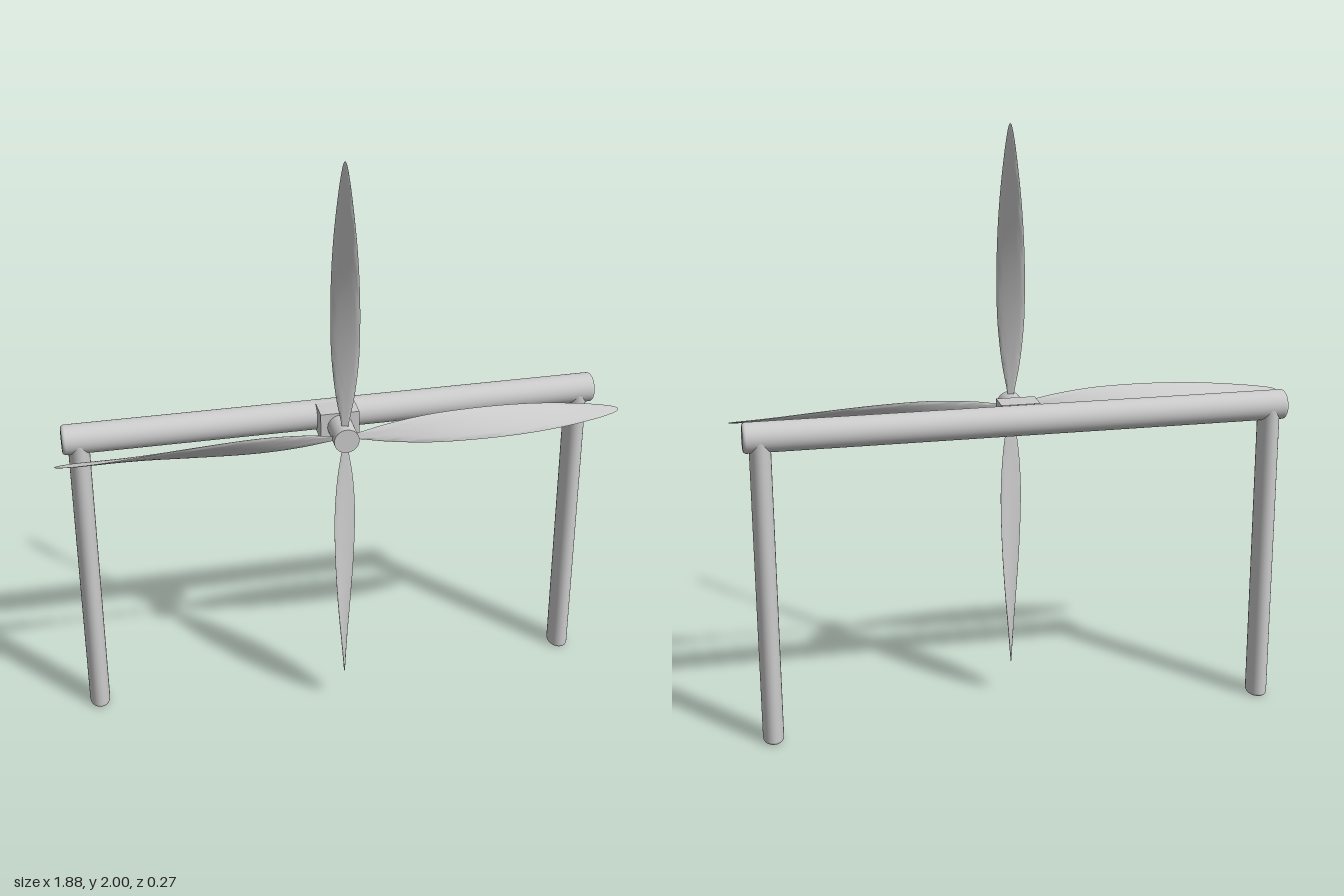
import * as THREE from 'three';
import { toCreasedNormals } from 'three/addons/utils/BufferGeometryUtils.js';

const AXIS_Y = 1.06;   // height of the beam and rotor axis
const BEAM_Z = -0.085;
const ROTOR_Z = 0.09;

const material = new THREE.MeshStandardMaterial({ color: 0xcccccc });

function addMesh(parent, name, geometry) {
  const mesh = new THREE.Mesh(geometry, material);
  mesh.name = name;
  parent.add(mesh);
  return mesh;
}

// Round bar along y, centred, with softly rounded end rims
function barGeometry(radius, length, rim = 0.012) {
  const h = length / 2;
  const points = [new THREE.Vector2(0, -h)];
  for (const end of [-1, 1]) {
    for (let i = 0; i <= 4; i++) {
      const a = (end < 0 ? i : 4 - i) * Math.PI / 8;
      points.push(new THREE.Vector2(
        radius - rim * (1 - Math.sin(a)),
        end * (h - rim * (1 - Math.cos(a)))));
    }
  }
  points.push(new THREE.Vector2(0, h));
  return new THREE.LatheGeometry(points, 48);
}

// Twisted blade along +x: lens sections lofted from root to tip
function bladeGeometry() {
  const rows = 48, sides = 24, tip = 0.94;
  const outline = new THREE.SplineCurve([
    [0.02, 0.008], [0.06, 0.014], [0.14, 0.029], [0.24, 0.042], [0.34, 0.05],
    [0.5, 0.055], [0.64, 0.054], [0.75, 0.047], [0.85, 0.034], [0.91, 0.02],
    [0.933, 0.01], [tip, 0.0005],
  ].map(([r, c]) => new THREE.Vector2(r, c)));
  const positions = [], index = [];
  for (let i = 0; i <= rows; i++) {
    const { x: r, y: chord } = outline.getPoint(i / rows);
    const pitch = THREE.MathUtils.degToRad(78 - 67 * r);
    const thick = Math.min(0.007, chord * 0.13 + 0.001 * (1 - r / tip));
    for (let j = 0; j < sides; j++) {
      const a = j / sides * Math.PI * 2;
      const u = Math.cos(a) * chord, v = Math.sin(a) * thick;
      positions.push(r,
        u * Math.sin(pitch) + v * Math.cos(pitch),
        -u * Math.cos(pitch) + v * Math.sin(pitch));
      if (i < rows) {
        const k = i * sides + j, n = i * sides + (j + 1) % sides;
        index.push(k, k + sides, n, n, k + sides, n + sides);
      }
    }
  }
  // Close the tip and the root
  for (let j = 1; j < sides - 1; j++) {
    const t = rows * sides;
    index.push(t, t + j + 1, t + j, 0, j, j + 1);
  }
  const geometry = new THREE.BufferGeometry();
  geometry.setAttribute('position', new THREE.Float32BufferAttribute(positions, 3));
  geometry.setIndex(index);
  // Make sure the winding faces outward
  let volume = 0;
  const p = (i) => new THREE.Vector3().fromArray(positions, i * 3);
  for (let i = 0; i < index.length; i += 3) {
    volume += p(index[i]).dot(p(index[i + 1]).cross(p(index[i + 2])));
  }
  if (volume < 0) geometry.setIndex(index.reverse());
  return toCreasedNormals(geometry, Math.PI / 3);
}

export function createModel() {
  const model = new THREE.Group();
  model.name = 'propellerStand';

  // Crossbeam
  const beam = addMesh(model, 'crossbeam', barGeometry(0.05, 1.81));
  beam.rotation.z = Math.PI / 2;
  beam.position.set(0, AXIS_Y, BEAM_Z);

  // Oval legs running up into the beam
  for (const side of [-1, 1]) {
    const leg = addMesh(model, side > 0 ? 'leftLeg' : 'rightLeg', barGeometry(0.05, AXIS_Y));
    leg.scale.x = 0.7;
    leg.position.set(side * 0.85, AXIS_Y / 2, BEAM_Z);
  }

  // Mounting block on the beam
  addMesh(model, 'mountBlock', new THREE.BoxGeometry(0.13, 0.095, 0.085))
    .position.set(0, AXIS_Y + 0.002, -0.027);

  // Shaft carrying the rotor
  const shaft = addMesh(model, 'shaft', new THREE.CylinderGeometry(0.042, 0.042, 0.12, 40));
  shaft.rotation.x = Math.PI / 2;
  shaft.position.set(0, AXIS_Y, 0.06);

  // Four-bladed rotor
  const rotor = new THREE.Group();
  rotor.name = 'rotor';
  rotor.position.set(0, AXIS_Y, ROTOR_Z);
  const blade = bladeGeometry();
  for (let i = 0; i < 4; i++) {
    addMesh(rotor, 'blade', blade).rotation.z = i * Math.PI / 2;
  }
  model.add(rotor);

  return model;
}
